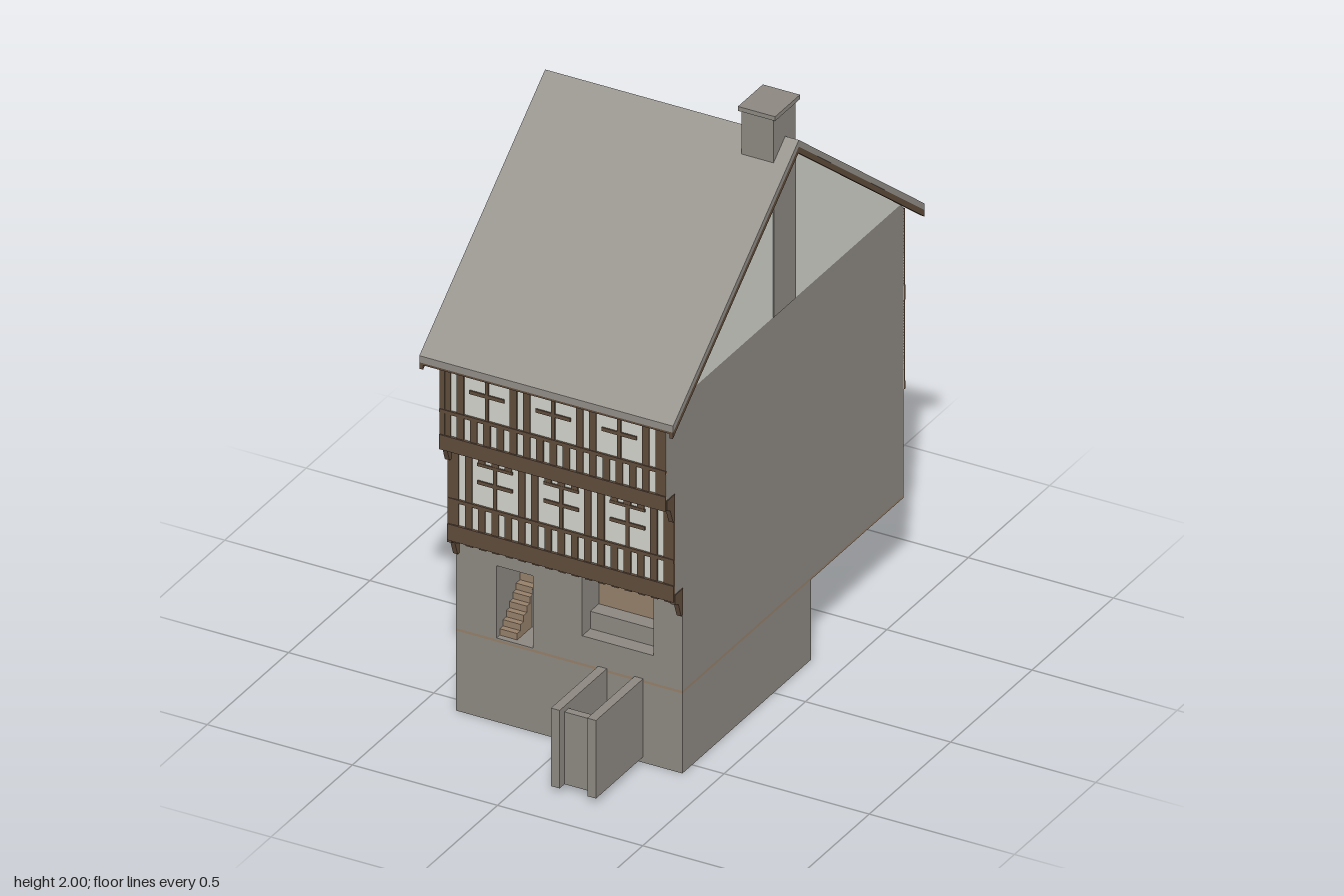
import * as THREE from 'three';

export function createModel() {
  const model = new THREE.Group();
  model.name = 'timberTownHouse';

  const paint = (name, color) => {
    const m = new THREE.MeshStandardMaterial({ color });
    m.name = name;
    return m;
  };
  const stone = paint('stone', 0x8c8780);
  const slate = paint('slate', 0x918d87);
  const plaster = paint('plaster', 0xcfd2c9);
  const timber = paint('darkTimber', 0x5f4b3b);
  const plank = paint('paleWood', 0x957f69);

  const add = (name, geometry, material, parent = model) => {
    const mesh = new THREE.Mesh(geometry, material);
    mesh.name = name;
    parent.add(mesh);
    return mesh;
  };
  // Box given by its limits on each axis
  const box = (name, material, x0, x1, y0, y1, z0, z1, parent) => {
    const g = new THREE.BoxGeometry(x1 - x0, y1 - y0, z1 - z0);
    g.translate((x0 + x1) / 2, (y0 + y1) / 2, (z0 + z1) / 2);
    return add(name, g, material, parent);
  };
  // Side profile of [z, y] points, extruded from x0 to x1
  const profile = (name, material, points, x0, x1, parent) => {
    const shape = new THREE.Shape(points.map(([z, y]) => new THREE.Vector2(z, y)));
    const g = new THREE.ExtrudeGeometry(shape, { depth: x1 - x0, bevelEnabled: false });
    g.rotateY(-Math.PI / 2).translate(x1, 0, 0);
    return add(name, g, material, parent);
  };

  const W = 0.39;       // half width of the house
  const RIDGE = -0.072; // z of the ridge

  // Cellar, floor boards and stone body
  box('cellar', stone, -W, W, 0, 0.277, -0.23, 0.56);
  box('floorBoards', plank, -W, W, 0.277, 0.285, -0.80, 0.56);
  profile('stoneBody', stone, [
    [-0.80, 0.285], [0.41, 0.285], [0.41, 0.62], [0.605, 0.62], [0.605, 0.97],
    [0.655, 0.97], [0.655, 1.28], [0.635, 1.30], [-0.78, 1.30], [-0.80, 1.28],
  ], -W, W);

  // Ground floor front with door and shop openings
  const wall = new THREE.Shape();
  wall.moveTo(-W, 0.285).lineTo(W, 0.285).lineTo(W, 0.62).lineTo(-W, 0.62).closePath();
  for (const [x0, x1, y0, y1] of [[-0.25, -0.125, 0.29, 0.54], [0.045, 0.29, 0.38, 0.595]]) {
    const hole = new THREE.Path();
    hole.moveTo(x0, y0).lineTo(x0, y1).lineTo(x1, y1).lineTo(x1, y0).closePath();
    wall.holes.push(hole);
  }
  const wallGeometry = new THREE.ExtrudeGeometry(wall, { depth: 0.15, bevelEnabled: false });
  add('groundFloorFront', wallGeometry.translate(0, 0, 0.41), stone);

  // Entrance stair and shop window inside the openings
  box('doorPanel', plank, -0.25, -0.125, 0.29, 0.54, 0.41, 0.416);
  box('stairBlock', stone, -0.19, -0.125, 0.29, 0.42, 0.412, 0.45);
  for (let i = 0; i < 6; i++) {
    box('doorStep', plank, -0.25, -0.19, 0.29, 0.312 + i * 0.0216, 0.412, 0.54 - i * 0.02);
  }
  box('shopShutter', plank, 0.045, 0.29, 0.38, 0.595, 0.45, 0.458);
  box('shopCounter', stone, 0.045, 0.29, 0.38, 0.44, 0.455, 0.51);

  // Cellar stair descending between two cheek walls
  for (const x of [0.10, 0.225]) box('stairCheek', stone, x, x + 0.03, 0.02, 0.29, 0.56, 0.85);
  for (let i = 0; i < 10; i++) {
    const z = 0.82 - i * 0.026;
    box('cellarStep', stone, 0.13, 0.225, 0.02, 0.27 - i * 0.025, z - 0.026, z);
  }

  // One storey of timber framing, built facing +z with its plaster at z = 0
  const storey = (name, y0, y1, beam, sill, windows, winTop) => {
    const g = new THREE.Group();
    g.name = name;
    model.add(g);
    box('plasterPanel', plaster, -W, W, y0, y1, 0, 0.003, g);
    box('floorBeam', timber, -W, W, beam[0], beam[1], 0, 0.012, g);
    box('sillRail', timber, -W, W, sill - 0.006, sill + 0.006, 0, 0.01, g);
    for (const s of [-1, 1]) {
      const x = s * (W - 0.009);
      box('cornerPost', timber, x - 0.009, x + 0.009, beam[1], y1, 0, 0.008, g);
    }
    for (let k = -8; k <= 8; k++) {
      const x = k * 0.0456;
      const blocked = windows.some((c) => Math.abs(c - x) < 0.062);
      box('stud', timber, x - 0.012, x + 0.012, beam[1], blocked ? sill : y1, 0, 0.007, g);
      if (blocked && y1 - winTop > 0.01) {
        box('shortStud', timber, x - 0.012, x + 0.012, winTop, y1, 0, 0.007, g);
      }
    }
    for (const c of windows) {
      const mid = sill + (winTop - sill) * 0.58;
      box('windowHead', timber, c - 0.06, c + 0.06, winTop - 0.005, winTop + 0.005, 0, 0.008, g);
      box('mullion', timber, c - 0.006, c + 0.006, sill, winTop, 0, 0.008, g);
      box('transom', timber, c - 0.06, c + 0.06, mid - 0.006, mid + 0.006, 0, 0.008, g);
    }
    return g;
  };
  const three = [-0.228, 0, 0.228];
  const two = [-0.205, 0.205];
  storey('frontFirstFloor', 0.62, 0.96, [0.618, 0.674], 0.758, three, 0.905).position.z = 0.603;
  storey('frontSecondFloor', 0.97, 1.275, [0.957, 1.008], 1.09, three, 1.245).position.z = 0.653;
  const backs = [
    storey('backFirstFloor', 0.65, 0.96, [0.65, 0.676], 0.758, two, 0.905),
    storey('backSecondFloor', 0.96, 1.275, [0.957, 1.008], 1.09, two, 1.245),
  ];
  for (const g of backs) {
    g.rotation.y = Math.PI;
    g.position.z = -0.799;
  }

  // Jetty brackets and joist ends
  for (const [z, y] of [[0.56, 0.62], [0.61, 0.97]]) {
    for (const x of [-W - 0.003, W - 0.013]) {
      profile('jettyBracket', timber, [
        [z, y - 0.07], [z + 0.012, y - 0.07], [z + 0.03, y - 0.02], [z + 0.05, y - 0.012],
        [z + 0.05, y + 0.022], [z, y + 0.022],
      ], x, x + 0.016);
    }
    for (let k = -8; k <= 8; k++) {
      box('joistEnd', timber, k * 0.0456 - 0.012, k * 0.0456 + 0.012, y - 0.012, y, z - 0.005, z + 0.045);
    }
  }

  // Plaster gables and the flue showing in the +x gable
  profile('gables', plaster, [[0.635, 1.30], [RIDGE, 1.855], [-0.78, 1.30]], -W, W);
  box('flue', stone, W - 0.1, W + 0.002, 1.30, 1.80, -0.135, 0.002);

  // Roof slabs, soffit and barge boards as chevrons
  const chevron = (name, material, top, bottom, x0, x1) => {
    const half = 0.773;
    const drop = 0.605;
    profile(name, material, [
      [RIDGE - half, 1.89 - drop - top], [RIDGE - half, 1.89 - drop - bottom],
      [RIDGE, 1.89 - bottom], [RIDGE + half, 1.89 - drop - bottom],
      [RIDGE + half, 1.89 - drop - top], [RIDGE, 1.89 - top],
    ], x0, x1);
  };
  chevron('roof', slate, 0, 0.023, -0.437, 0.437);
  chevron('soffit', timber, 0.023, 0.03, -0.43, 0.43);
  for (const x of [-0.436, 0.424]) chevron('bargeBoard', timber, 0.022, 0.045, x, x + 0.012);

  // Chimney
  box('chimney', stone, 0.28, 0.39, 1.80, 1.985, -0.135, 0);
  box('chimneyCap', stone, 0.272, 0.40, 1.985, 2.0, -0.145, 0.008);

  return model;
}
